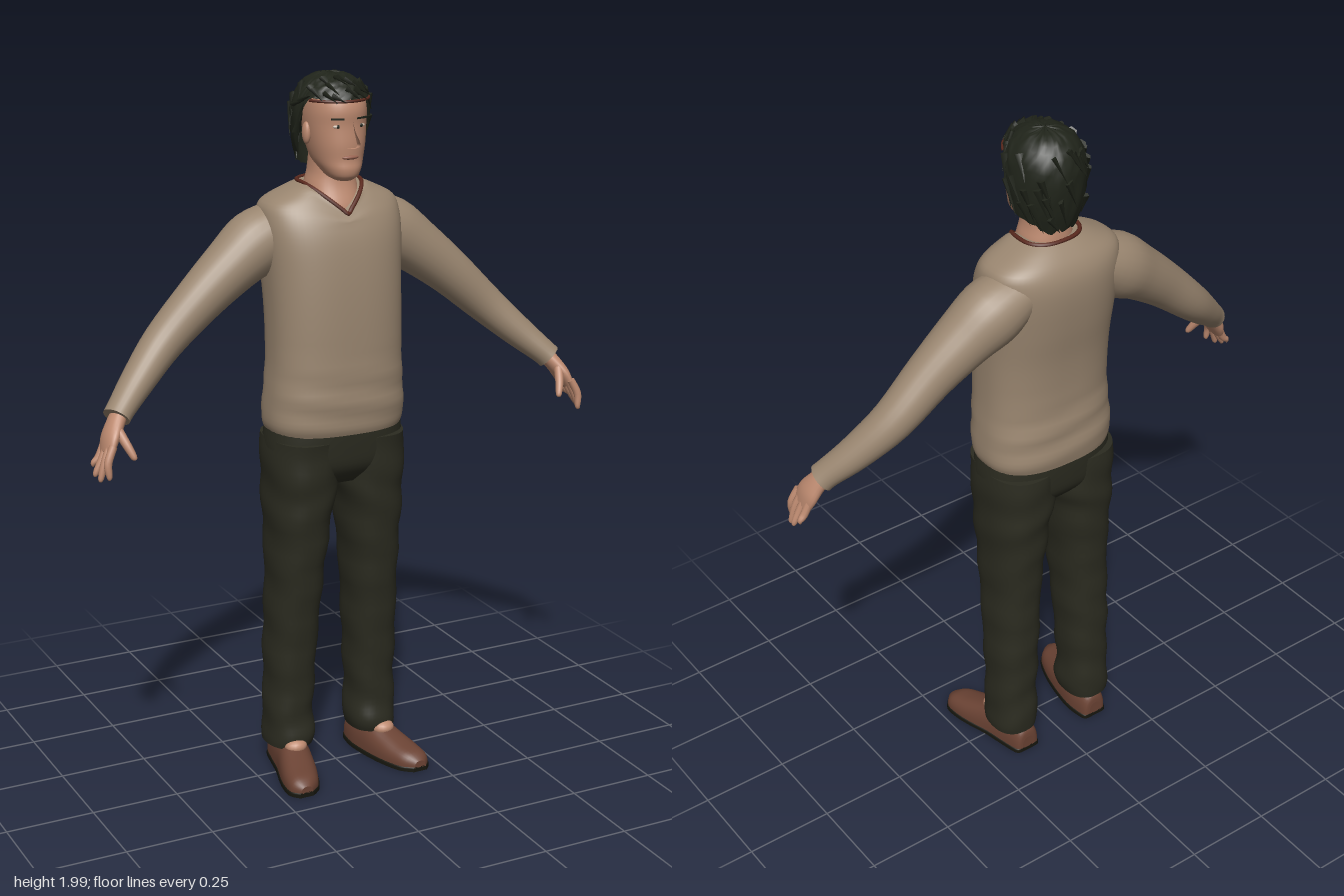
import * as THREE from 'three';

const V = (x, y, z) => new THREE.Vector3(x, y, z);
const mat = (name, color, side = THREE.FrontSide) => {
  const m = new THREE.MeshStandardMaterial({ color, side });
  m.name = name;
  return m;
};

// Catmull-Rom interpolation of every column of a table of sections
function sample(rows, m = 4) {
  const out = [], last = rows.length - 1;
  for (let i = 0; i < last; i++) for (let k = 0; k < m; k++) {
    const t = k / m, p = rows[Math.max(0, i - 1)], a = rows[i], b = rows[i + 1], q = rows[Math.min(last, i + 2)];
    out.push(a.map((_, c) => 0.5 * (2 * a[c] + (b[c] - p[c]) * t + (2 * p[c] - 5 * a[c] + 4 * b[c] - q[c]) * t * t
      + (3 * a[c] - p[c] - 3 * b[c] + q[c]) * t * t * t)));
  }
  out.push(rows[last]);
  return out;
}

// Superellipse ring around c, spanned by u and v
function ring(c, u, v, ru, rv, n = 2, seg = 32) {
  const pow = s => Math.sign(s) * Math.abs(s) ** (2 / n);
  return Array.from({ length: seg }, (_, j) => {
    const a = j / seg * Math.PI * 2;
    return c.clone().addScaledVector(u, ru * pow(Math.sin(a))).addScaledVector(v, rv * pow(Math.cos(a)));
  });
}

// Skin a list of rings, with flat caps
function loft(rings, caps = true) {
  const pos = [], idx = [], s = rings[0].length, n = rings.length;
  const add = p => pos.push(p.x, p.y, p.z) / 3 - 1;
  rings.forEach(r => r.forEach(add));
  for (let i = 0; i < n - 1; i++) for (let j = 0; j < s; j++) {
    const k = (j + 1) % s, a = i * s + j, b = i * s + k;
    idx.push(a, b, b + s, a, b + s, a + s);
  }
  if (caps) [rings[0], rings[n - 1]].forEach((r, top) => {
    const mid = add(r.reduce((t, p) => t.add(p), V(0, 0, 0)).divideScalar(s));
    const base = r.map(add)[0];
    for (let j = 0; j < s; j++) {
      const a = base + j, b = base + (j + 1) % s;
      idx.push(mid, ...(top ? [a, b] : [b, a]));
    }
  });
  const g = new THREE.BufferGeometry();
  g.setAttribute('position', new THREE.Float32BufferAttribute(pos, 3));
  g.setIndex(idx);
  g.computeVertexNormals();
  return g;
}

// Upright form: rows of [y, centre x, half width, front z, back z]
const columnRings = (rows, n = 2.3, warp = p => p, m = 4, seg = 40) => sample(rows, m).map(([y, cx, rx, f, b]) =>
  ring(V(cx, y, (f + b) / 2), V(1, 0, 0), V(0, 0, 1), rx, (f - b) / 2, n, seg).map(warp));
const column = (...args) => loft(columnRings(...args));

// Limb along a path: rows of [x, y, z, thickness, depth]
function limb(rows, seg = 24, m = 4) {
  const s = sample(rows, m), c = s.map(r => V(r[0], r[1], r[2]));
  return loft(s.map((r, i) => {
    const t = c[Math.min(i + 1, c.length - 1)].clone().sub(c[Math.max(i - 1, 0)]).normalize();
    const v = V(0, 0, 1).addScaledVector(t, -t.z).normalize();
    return ring(c[i], t.clone().cross(v), v, r[3], r[4], 2, seg);
  }));
}

// Shoe form: rows of [z, centre x, half width, top]
const shoeForm = (rows, n, shape) => loft(sample(rows).map(([z, cx, rx, top]) => {
  const [lo, hi, grow] = shape(top);
  return ring(V(cx, lo, z), V(-1, 0, 0), V(0, 1, 0), rx + grow, hi - lo, n, 32)
    .map(p => { p.y = Math.max(p.y, lo); return p; });
}));

function flipX(geo) {
  const g = geo.clone().scale(-1, 1, 1), i = g.index.array;
  for (let k = 0; k < i.length; k += 3) [i[k], i[k + 1]] = [i[k + 1], i[k]];
  g.computeVertexNormals();
  return g;
}

export function createModel() {
  const group = new THREE.Group();
  group.name = 'standingMan';
  const knit = mat('beigeKnit', 0x9a8670), cloth = mat('darkTrouserCloth', 0x2b2b20);
  const skin = mat('skin', 0xbd8a70), hairMat = mat('darkHair', 0x20241a, THREE.DoubleSide);
  const leather = mat('brownLeather', 0x6b4334), soleMat = mat('blackSole', 0x17170f);
  const trim = mat('redBrownTrim', 0x5c2a1e), lip = mat('lips', 0x96604e), white = mat('eyeWhite', 0xc9b8a8);
  const add = (name, geo, m) => {
    const mesh = new THREE.Mesh(geo, m);
    mesh.name = name;
    group.add(mesh);
  };
  const pair = (name, geo, m) => { add(name + 'Left', geo, m); add(name + 'Right', flipX(geo), m); };
  const ball = (x, y, z, a, b, c) => new THREE.SphereGeometry(1, 16, 12).scale(a, b, c).translate(x, y, z);

  // Sweater, with the front of the collar pulled down to a V
  const neckline = p => {
    const h = Math.max(0, p.y - 1.6);
    const k = p.z > -0.04 ? Math.max(0, 1 - Math.abs(p.x) / 0.085) : 0;
    p.y -= h * 0.75 * k;
    p.z += 0.45 * h * k;
    const low = Math.max(0, 1 - Math.abs(p.y - 1.13) / 0.14);
    p.z += 0.004 * low * Math.sin(p.y * 75 + p.x * 9);
    return p;
  };
  const sweater = columnRings([
    [1.02, 0, 0.192, 0.11, -0.155], [1.05, 0, 0.2, 0.118, -0.16], [1.12, 0, 0.197, 0.122, -0.157],
    [1.22, 0, 0.19, 0.122, -0.15], [1.35, 0, 0.19, 0.12, -0.157], [1.46, 0, 0.194, 0.113, -0.173],
    [1.55, 0, 0.2, 0.1, -0.182], [1.61, 0, 0.2, 0.08, -0.18], [1.65, 0, 0.187, 0.055, -0.165],
    [1.68, 0, 0.132, 0.037, -0.14], [1.7, 0, 0.085, 0.03, -0.115]], 2.5, neckline, 4, 64);
  add('sweaterBody', loft(sweater), knit);
  const collar = new THREE.CatmullRomCurve3(sweater[sweater.length - 1], true);
  add('collarTrim', new THREE.TubeGeometry(collar, 96, 0.006, 6, true), trim);
  pair('sleeve', limb([
    [0.12, 1.585, -0.075, 0.07, 0.085], [0.2, 1.54, -0.075, 0.09, 0.09], [0.28, 1.485, -0.066, 0.078, 0.08],
    [0.38, 1.405, -0.055, 0.066, 0.067], [0.49, 1.305, -0.043, 0.055, 0.058], [0.58, 1.22, -0.004, 0.045, 0.049],
    [0.642, 1.163, 0.033, 0.037, 0.042], [0.662, 1.143, 0.045, 0.036, 0.042]]), knit);

  // Hands
  pair('palm', limb([
    [0.645, 1.16, 0.036, 0.022, 0.026], [0.67, 1.127, 0.054, 0.022, 0.033],
    [0.69, 1.095, 0.068, 0.02, 0.041], [0.704, 1.062, 0.08, 0.013, 0.038]], 20), skin);
  [[0.715, 1.0, 0.122], [0.73, 0.992, 0.1], [0.735, 1.0, 0.076], [0.731, 1.02, 0.05]].forEach(([x, y, z], i) => {
    const bz = 0.109 - i * 0.02;
    pair('finger' + (i + 1), limb([[0.697, 1.085, bz, 0.011, 0.012], [0.716, 1.045, (bz + z) / 2 + 0.002, 0.011, 0.011],
      [x, y + 0.01, z, 0.008, 0.008], [x + 0.001, y, z, 0.003, 0.003]], 10), skin);
  });
  pair('thumb', limb([[0.675, 1.125, 0.075, 0.014, 0.014], [0.66, 1.085, 0.108, 0.012, 0.012],
    [0.648, 1.055, 0.126, 0.009, 0.009], [0.646, 1.047, 0.13, 0.004, 0.004]], 10), skin);

  // Trousers
  const creases = p => {
    p.x += 0.003 * Math.sin(p.y * 42 + p.z * 12);
    p.z += 0.002 * Math.sin(p.y * 55 + p.x * 20);
    return p;
  };
  add('trouserSeat', column([[0.87, 0, 0.18, 0.06, -0.1], [0.92, 0, 0.196, 0.098, -0.142],
    [0.98, 0, 0.199, 0.107, -0.152], [1.04, 0, 0.192, 0.109, -0.153]], 2.5), cloth);
  pair('trouserLeg', column([
    [0.075, 0.132, 0.066, 0.03, -0.128], [0.11, 0.132, 0.07, 0.036, -0.132], [0.2, 0.13, 0.067, 0.03, -0.127],
    [0.4, 0.125, 0.071, 0.045, -0.13], [0.6, 0.117, 0.075, 0.069, -0.132], [0.8, 0.108, 0.089, 0.093, -0.146],
    [0.88, 0.102, 0.098, 0.1, -0.152], [1, 0.1, 0.098, 0.107, -0.154]], 2.4, creases, 6), cloth);

  // Shoes
  const foot = [[-0.13, 0.125, 0.022, 0.05], [-0.12, 0.125, 0.038, 0.08], [-0.06, 0.128, 0.049, 0.097],
    [0, 0.137, 0.052, 0.097], [0.06, 0.152, 0.055, 0.077], [0.11, 0.165, 0.053, 0.062],
    [0.155, 0.176, 0.043, 0.05], [0.182, 0.181, 0.018, 0.032]];
  pair('shoe', shoeForm(foot, 2.5, top => [0.012, top, 0]), leather);
  pair('sole', shoeForm(foot, 7, () => [0, 0.015, 0.003]), soleMat);
  pair('instep', ball(0.141, 0.083, 0.025, 0.033, 0.022, 0.03), skin);

  // Neck, head and face
  add('neck', column([[1.6, 0, 0.07, 0.06, -0.1], [1.64, 0, 0.075, 0.055, -0.105], [1.69, 0, 0.07, 0.036, -0.104],
    [1.73, 0, 0.06, 0.03, -0.1], [1.79, 0, 0.056, 0.03, -0.09]]), skin);
  add('head', column([[1.713, 0, 0.022, 0.07, 0.01], [1.724, 0, 0.04, 0.086, -0.02], [1.745, 0, 0.054, 0.092, -0.055],
    [1.77, 0, 0.065, 0.089, -0.085], [1.81, 0, 0.074, 0.091, -0.105], [1.86, 0, 0.08, 0.088, -0.115],
    [1.9, 0, 0.081, 0.09, -0.12], [1.935, 0, 0.075, 0.077, -0.115], [1.965, 0, 0.05, 0.04, -0.09]], 2.2), skin);
  add('nose', column([[1.885, 0, 0.008, 0.09, 0.06], [1.85, 0, 0.01, 0.106, 0.06], [1.822, 0, 0.016, 0.13, 0.06],
    [1.81, 0, 0.019, 0.124, 0.06], [1.803, 0, 0.014, 0.105, 0.06]], 2, undefined, 4, 20), skin);
  add('mouth', ball(0, 1.778, 0.086, 0.024, 0.006, 0.008), lip);
  pair('ear', ball(0.081, 1.835, -0.012, 0.011, 0.03, 0.017), skin);
  pair('eye', ball(0.034, 1.86, 0.077, 0.013, 0.005, 0.006), white);
  pair('iris', ball(0.034, 1.86, 0.081, 0.005, 0.005, 0.003), hairMat);
  pair('eyebrow', new THREE.BoxGeometry(0.034, 0.005, 0.006).rotateY(0.3).translate(0.035, 1.88, 0.081), hairMat);

  // Hair: a shell whose lower edge follows the hairline, slightly uneven
  let seed = 7;
  const rnd = () => (seed = (seed * 16807) % 2147483647) / 2147483647;
  const hairPoint = (a, t, lift = 1) => {
    const d = Math.abs(Math.atan2(Math.sin(a), Math.cos(a))) * 180 / Math.PI, step = THREE.MathUtils.smoothstep;
    const edge = 1.925 - 0.15 * step(d, 66, 92) - 0.04 * step(d, 100, 150);
    const y = 1.99 - (1.99 - edge) * t ** 1.6;
    const h = Math.abs(y - 1.87) / 0.12;
    const r = lift * (y > 1.87 ? Math.max(0, 1 - h ** 2.4) ** (1 / 2.4) : 1 - 0.22 * (h / 1.15) ** 2);
    return V(0.106 * r * Math.sin(a), y, -0.035 + (Math.cos(a) > 0 ? 0.13 : 0.11) * r * Math.cos(a));
  };
  const cols = 56, rows = 14, hairRings = [];
  for (let i = 0; i <= rows; i++) hairRings.push(Array.from({ length: cols }, (_, j) => {
    const t = 1 - i / rows, p = hairPoint(j / cols * Math.PI * 2, t, 0.975 + 0.05 * rnd());
    p.y += (rnd() - 0.5) * (i ? 0.006 : 0.016);
    return p;
  }));
  add('hair', loft(hairRings, false), hairMat);

  // Loose locks lying on the crown and along the edge
  for (let i = 0; i < 44; i++) {
    const a = i * 2.4, t = 0.3 + 0.6 * rnd();
    const p = hairPoint(a, t, 1.0), q = hairPoint(a + 0.25, Math.min(1, t + 0.22), 1.04);
    const lock = new THREE.ConeGeometry(0.014, p.distanceTo(q) + 0.012, 5).scale(1, 1, 0.5);
    lock.applyQuaternion(new THREE.Quaternion().setFromUnitVectors(V(0, 1, 0), q.clone().sub(p).normalize()));
    lock.translate(...p.add(q).multiplyScalar(0.5).toArray());
    add('hairLock' + (i + 1), lock, hairMat);
  }
  const brow = Array.from({ length: 15 }, (_, i) => hairPoint((i / 7 - 1) * 1.1, 1, 1.0));
  add('hairlineEdge', new THREE.TubeGeometry(new THREE.CatmullRomCurve3(brow), 32, 0.004, 6), trim);

  return group;
}
